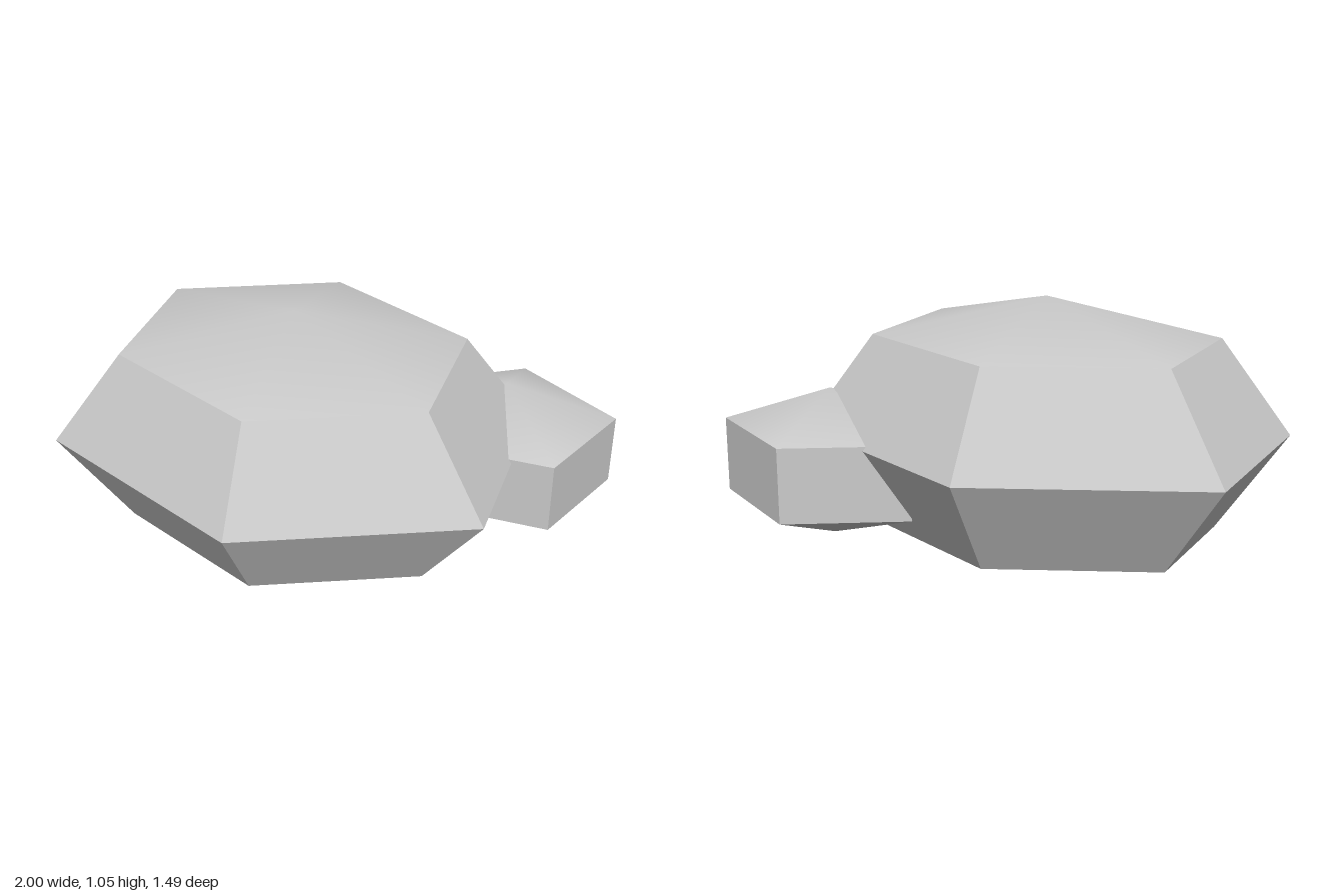
import * as THREE from 'three';
import { mergeGeometries, toCreasedNormals } from 'three/addons/utils/BufferGeometryUtils.js';

const stone = new THREE.MeshStandardMaterial({ color: 0xcacaca });
stone.name = 'stoneGrey';

// Boulder: a coarse stretched sphere with flat sides and softly shaded caps
function boulder(name, sides, rings, turn, radii, position) {
  // Open ring of faces between two latitudes, counted from the top
  const slice = (i) => {
    const [a, b] = [i, i + 1].map((k) => (k * Math.PI) / rings);
    const [top, bottom] = [Math.cos(a), Math.cos(b)];
    return new THREE.CylinderGeometry(Math.sin(a), Math.sin(b), top - bottom, sides, 1, true, turn)
      .translate(0, (top + bottom) / 2, 0)
      .scale(...radii);
  };

  // Smooth cap, used on top and turned over for the underside
  const cap = toCreasedNormals(slice(0), Math.PI / 3);
  const parts = [cap, cap.clone().rotateZ(Math.PI)];

  // Flat-shaded bands between the caps
  for (let i = 1; i < rings - 1; i++) {
    const band = slice(i).toNonIndexed();
    band.computeVertexNormals();
    parts.push(band);
  }

  const mesh = new THREE.Mesh(mergeGeometries(parts), stone);
  mesh.name = name;
  mesh.position.set(...position);
  return mesh;
}

export function createModel() {
  const group = new THREE.Group();
  group.name = 'rocks';

  // Big six-sided rock, one corner facing front
  group.add(boulder('largeRock', 6, 4, 0, [0.97, 0.523, 0.745], [-0.16, 0.523, 0]));

  // Small five-sided rock half sunk into its back left, one corner facing back
  group.add(boulder('smallRock', 5, 3, Math.PI, [0.504, 0.29, 0.414], [0.585, 0.395, -0.333]));

  return group;
}
